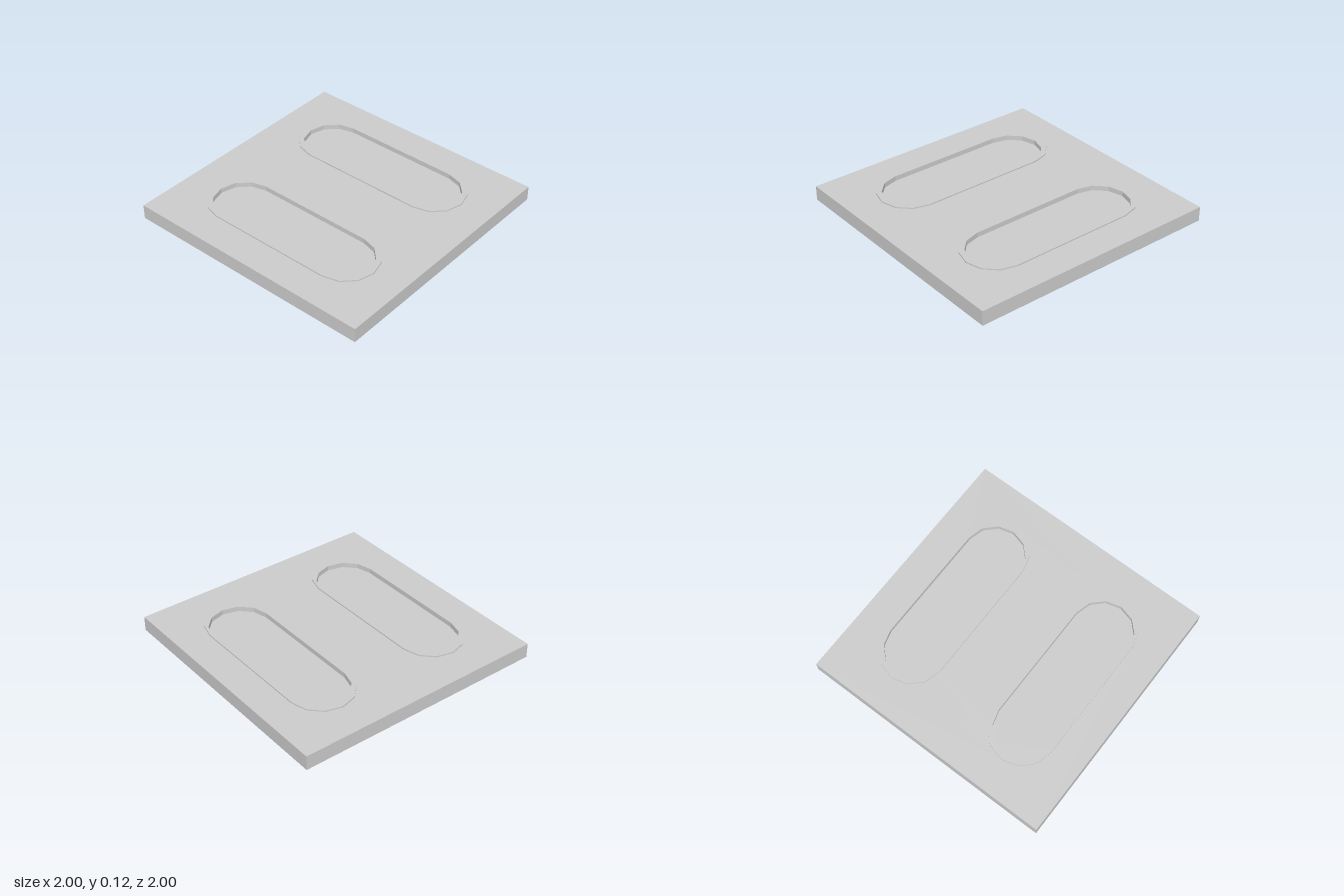
import * as THREE from 'three';

const THICK = 0.115;   // plate and rim height
const RAISE = 0.01;    // how far the rims sit above the plate
const INNER = 0.938;   // rim opening relative to its outline

// Faceted stadium outline, anticlockwise, centred on (cx, 0)
function stadium(cx, scale, PathType) {
  const points = [];
  for (const side of [1, -1]) {
    for (let i = 0; i <= 6; i++) {
      const a = i * Math.PI / 6;
      points.push(new THREE.Vector2(
        cx + side * 0.25 * Math.cos(a) * scale,
        side * (0.5 + 0.25 * Math.sin(a)) * scale
      ));
    }
  }
  return new PathType(points);
}

// Extrude a ground-plan shape upwards from the given height
function slab(name, shape, y, height, material) {
  const geometry = new THREE.ExtrudeGeometry(shape, { depth: height, bevelEnabled: false });
  geometry.rotateX(-Math.PI / 2);
  geometry.translate(0, y, 0);
  const mesh = new THREE.Mesh(geometry, material);
  mesh.name = name;
  return mesh;
}

export function createModel() {
  const model = new THREE.Group();
  model.name = 'slottedPlate';
  const grey = new THREE.MeshStandardMaterial({ color: 0xcccccc });
  grey.name = 'lightGrey';
  grey.flatShading = true;

  // Square plate with two long openings
  const square = new THREE.Shape([
    new THREE.Vector2(-1, -1), new THREE.Vector2(1, -1),
    new THREE.Vector2(1, 1), new THREE.Vector2(-1, 1)
  ]);
  for (const cx of [-0.5, 0.5]) square.holes.push(stadium(cx, 1, THREE.Path));
  model.add(slab('plate', square, 0, THICK, grey));

  for (const [side, cx] of [['right', -0.5], ['left', 0.5]]) {
    // Raised rim set in the opening
    const rim = stadium(cx, 1, THREE.Shape);
    rim.holes.push(stadium(cx, INNER, THREE.Path));
    model.add(slab(side + 'Rim', rim, RAISE, THICK, grey));

    // Thin recessed panel inside the rim
    model.add(slab(side + 'Panel', stadium(cx, INNER, THREE.Shape), 0.081, 0.005, grey));
  }
  return model;
}
